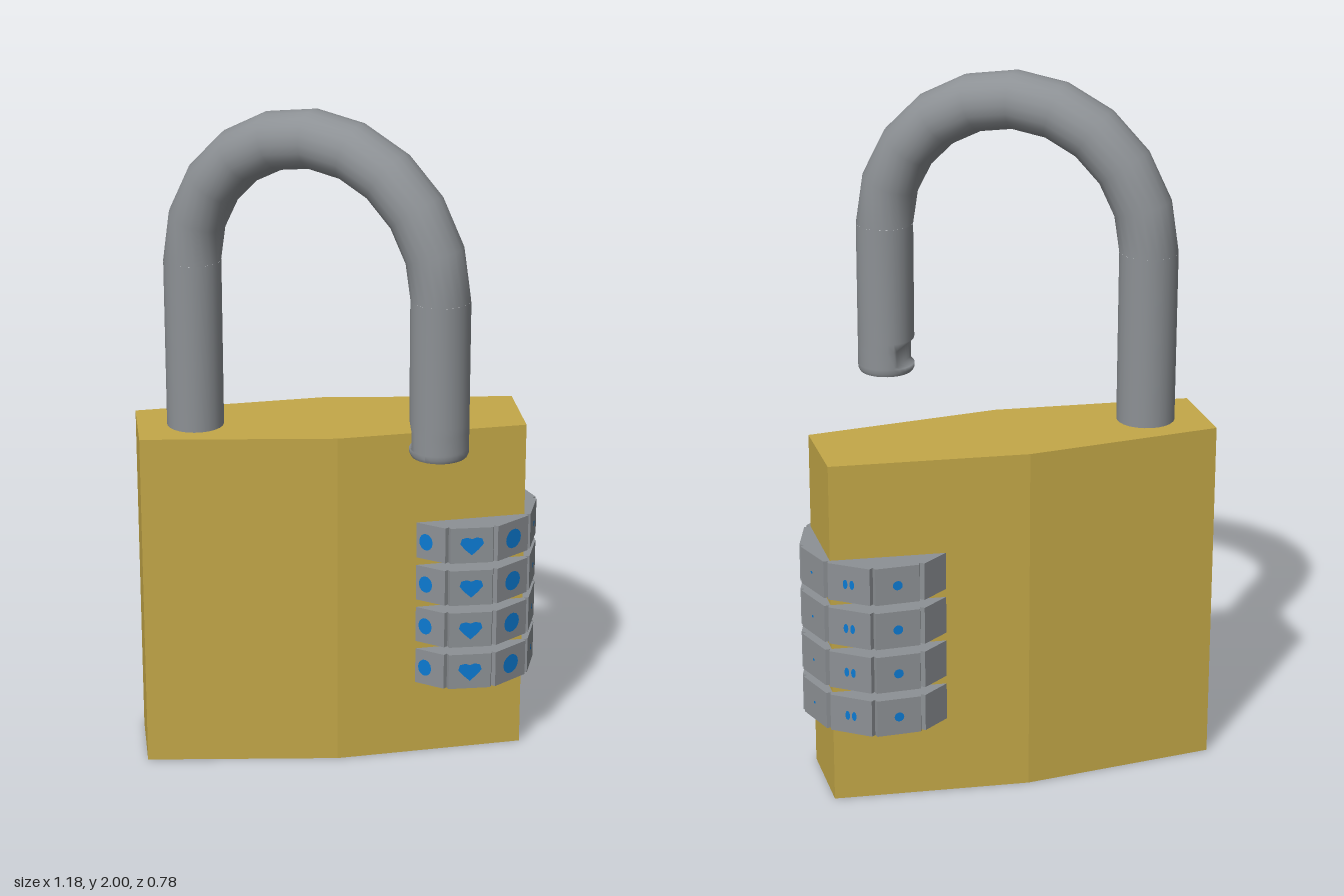
import * as THREE from 'three';

const material = (name, color, extra = {}) => {
  const m = new THREE.MeshStandardMaterial({ color, ...extra });
  m.name = name;
  return m;
};

function add(parent, name, geometry, mat, x = 0, y = 0, z = 0) {
  const mesh = new THREE.Mesh(geometry, mat);
  mesh.name = name;
  mesh.position.set(x, y, z);
  parent.add(mesh);
  return mesh;
}

// Extrudes a plan outline of [x, -z] points upwards from y = 0.
function prism(points, height) {
  const shape = new THREE.Shape(points.map(([x, y]) => new THREE.Vector2(x, y)));
  return new THREE.ExtrudeGeometry(shape, { depth: height, bevelEnabled: false }).rotateX(-Math.PI / 2);
}

export function createModel() {
  const lock = new THREE.Group();
  lock.name = 'combinationPadlock';
  const brass = material('brass', 0xc4a848);
  const steel = material('steel', 0x8d9195);
  const blue = material('blue', 0x0c7ad2);

  // Body: six-sided block, thickest along the middle
  add(lock, 'body', prism([
    [-0.595, 0.042], [-0.03, -0.013], [0.53, 0.042],
    [0.53, 0.295], [-0.03, 0.35], [-0.595, 0.295],
  ], 1.02), brass);

  // Shackle: swung open, so it is built flat and turned about the vertical
  const shackle = new THREE.Group();
  shackle.name = 'shackle';
  shackle.position.set(-0.1025, 0, 0.07);
  shackle.rotation.y = -0.63;
  lock.add(shackle);
  const R = 0.4, r = 0.083, spring = 1.517;
  add(shackle, 'shackleBow', new THREE.TorusGeometry(R, r, 20, 10, Math.PI), steel, 0, spring, 0);
  add(shackle, 'fixedLeg', new THREE.CylinderGeometry(r, r, spring - 1, 24, 1, true), steel, -R, (spring + 1) / 2, 0);

  // Free leg with a latch notch on its inner side
  const profile = [[0.078, 1.07], [r, 1.08], [r, 1.092], [r, 1.097], [r, 1.145], [r, 1.17], [r, spring]];
  const leg = new THREE.LatheGeometry(profile.map(([x, y]) => new THREE.Vector2(x, y)), 28);
  const pos = leg.attributes.position;
  for (let i = 0; i < pos.count; i++) {
    const y = pos.getY(i);
    if (y > 1.094 && y < 1.15) pos.setX(i, Math.max(pos.getX(i), -0.055));
  }
  leg.computeVertexNormals();
  add(shackle, 'freeLeg', leg, steel, R);
  add(shackle, 'freeLegEnd', new THREE.CircleGeometry(0.078, 28).rotateX(Math.PI / 2), steel, R, 1.07, 0);

  // Dial outline: decagon with a small groove at every corner
  const radius = 0.23, side = Math.PI / 5, groove = 0.008;
  const corner = (i) => new THREE.Vector2(Math.cos(i * side), Math.sin(i * side)).multiplyScalar(radius);
  const outline = [];
  for (let i = 0; i < 10; i++) {
    const c = corner(i);
    const t = groove / c.distanceTo(corner(i + 1));
    outline.push(
      c.clone().lerp(corner(i - 1), t).toArray(),
      c.clone().multiplyScalar(0.94).toArray(),
      c.clone().lerp(corner(i + 1), t).toArray(),
    );
  }
  const dialHeight = 0.11;
  const dialGeometry = prism(outline, dialHeight);

  // Painted marks, one kind per facet
  const dot = (w, h) => new THREE.CircleGeometry(1, 14).scale(w, h, 1);
  const heart = new THREE.ShapeGeometry(new THREE.Shape([
    [0, -0.03], [0.02, -0.012], [0.035, 0.006], [0.03, 0.022], [0.014, 0.026], [0, 0.021],
    [-0.014, 0.026], [-0.03, 0.022], [-0.035, 0.006], [-0.02, -0.012],
  ].map(([x, y]) => new THREE.Vector2(x, y))));
  const marks = [
    [126, dot(0.022, 0.026)],
    [90, heart],
    [54, dot(0.031, 0.03)],
    [18, dot(0.011, 0.009)],
    [-18, dot(0.005, 0.004)],
    [-54, dot(0.007, 0.014), -0.01],
    [-54, dot(0.007, 0.014), 0.01],
    [-90, dot(0.014, 0.014)],
  ];
  const reach = radius * Math.cos(side / 2) + 0.002;

  // Four stacked dials
  for (let n = 0; n < 4; n++) {
    const dial = new THREE.Group();
    dial.name = 'dial' + (n + 1);
    dial.position.set(0.36, 0.228 + n * 0.1343, -0.168);
    lock.add(dial);
    add(dial, 'dialRing', dialGeometry, steel);
    for (const [degrees, geometry, shift = 0] of marks) {
      const a = THREE.MathUtils.degToRad(degrees);
      const mark = add(dial, 'dialMark', geometry, blue,
        reach * Math.cos(a) + shift * Math.sin(a), dialHeight / 2,
        reach * Math.sin(a) - shift * Math.cos(a));
      mark.rotation.y = Math.PI / 2 - a;
    }
  }
  return lock;
}
